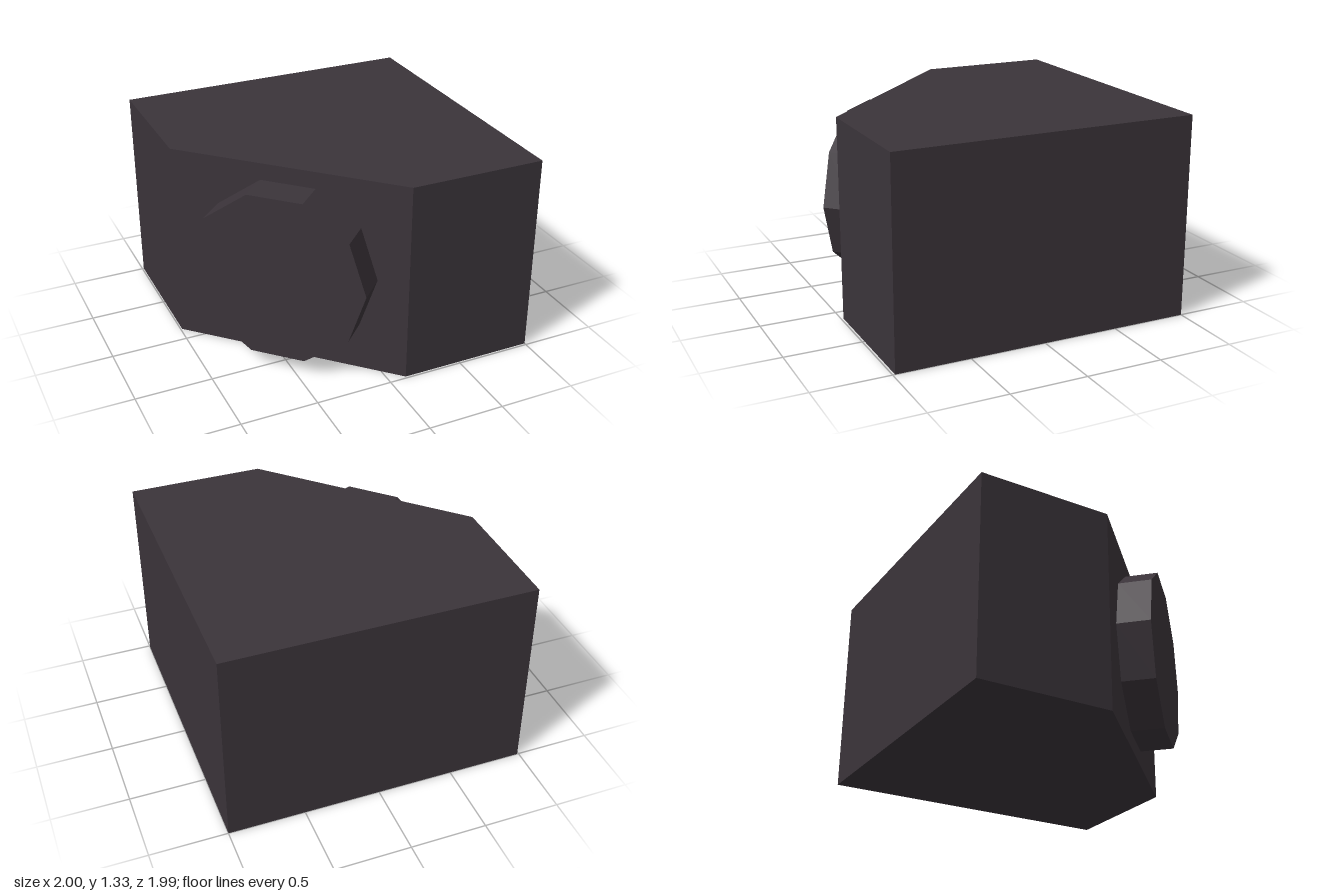
import * as THREE from 'three';

export function createModel() {
  const group = new THREE.Group();
  const charcoal = new THREE.MeshStandardMaterial({ color: 0x3b343a, flatShading: true });
  charcoal.name = 'charcoal';

  // Body: a square block with one front corner cut off, drawn as [x, z]
  const height = 1.325;
  const outline = [[-0.99, -1], [1, -1], [1, 0.985], [0.115, 0.985], [-0.99, -0.12]];
  const shape = new THREE.Shape(outline.map(([x, z]) => new THREE.Vector2(x, -z)));
  const bodyGeometry = new THREE.ExtrudeGeometry(shape, { depth: height, bevelEnabled: false });
  bodyGeometry.rotateX(-Math.PI / 2);
  const body = new THREE.Mesh(bodyGeometry, charcoal);
  body.name = 'body';
  group.add(body);

  // Ten-sided disc standing out from the cut corner
  const depth = 0.215;
  const discGeometry = new THREE.CylinderGeometry(0.58, 0.58, depth, 10, 1, false, Math.PI / 2);
  discGeometry.rotateX(Math.PI / 2);
  const disc = new THREE.Mesh(discGeometry, charcoal);
  disc.name = 'cornerDisc';
  disc.rotation.y = -Math.PI / 4;
  disc.position.set(-0.513, height / 2, 0.508);
  group.add(disc);

  return group;
}
